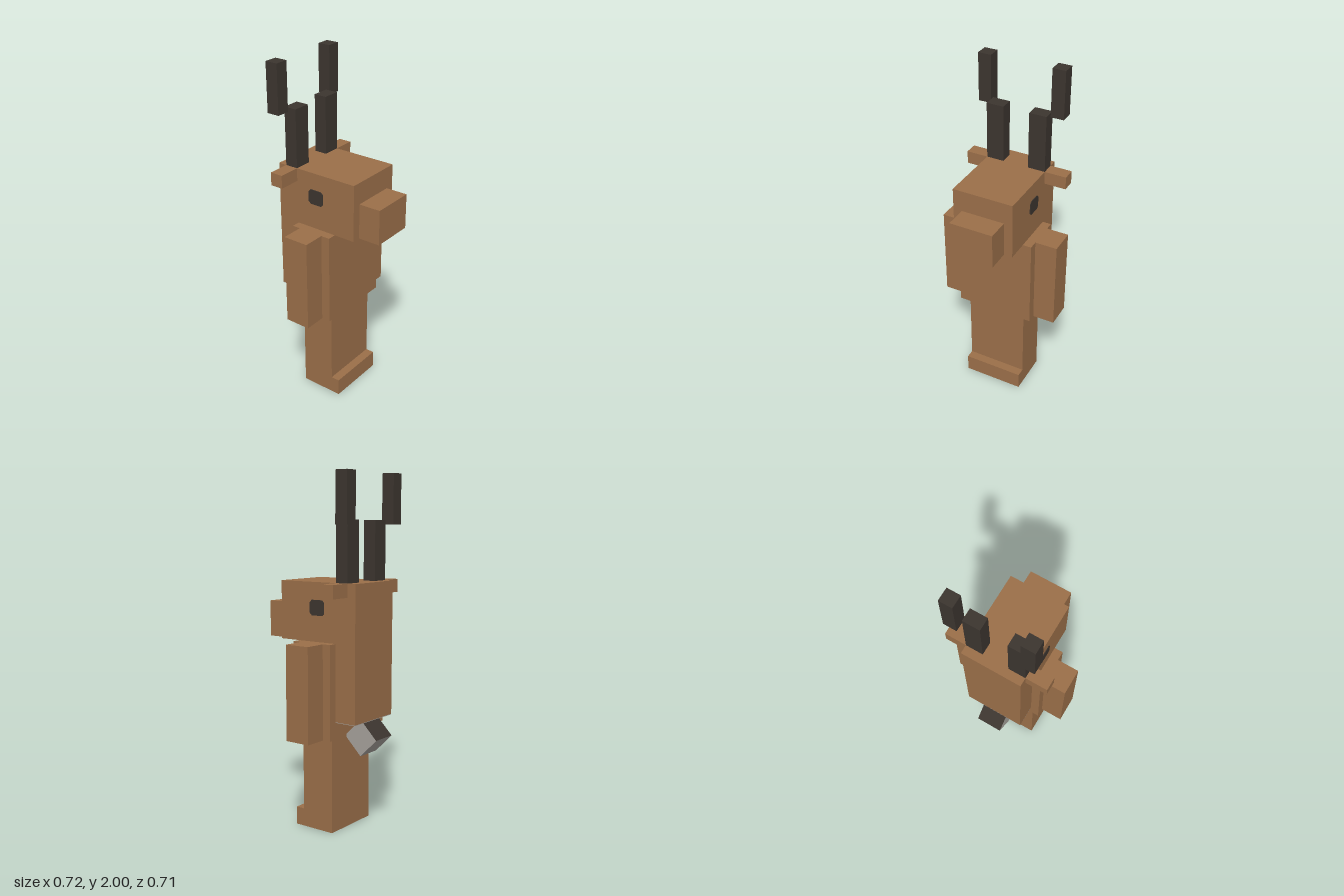
import * as THREE from 'three';

const mat = (name, color) => {
  const m = new THREE.MeshStandardMaterial({ color });
  m.name = name;
  return m;
};

export function createModel() {
  const model = new THREE.Group();
  model.name = 'blockyDeer';
  const fur = mat('brown fur', 0x9b6f49);
  const dark = mat('dark brown', 0x3c352f);
  const grey = mat('pale grey', 0xa6a19b);

  const add = (name, geometry, material) => {
    const mesh = new THREE.Mesh(geometry, material);
    mesh.name = name;
    model.add(mesh);
    return mesh;
  };

  // Box given by its limits on each axis
  const block = (name, material, [x0, x1], [y0, y1], [z0, z1]) => {
    const mesh = add(name, new THREE.BoxGeometry(x1 - x0, y1 - y0, z1 - z0), material);
    mesh.position.set((x0 + x1) / 2, (y0 + y1) / 2, (z0 + z1) / 2);
    return mesh;
  };

  // Side outline of [z, y] points, extruded across x
  const slab = (name, material, points, x0, x1) => {
    const shape = new THREE.Shape(points.map(([z, y]) => new THREE.Vector2(z, y)));
    const geometry = new THREE.ExtrudeGeometry(shape, { depth: x1 - x0, bevelEnabled: false });
    geometry.rotateY(-Math.PI / 2).translate(x1, 0, 0);
    return add(name, geometry, material);
  };

  // Legs with the toe step
  slab('legs', fur, [[-0.13, 0], [0.125, 0], [0.125, 0.103], [0.073, 0.103],
    [0.073, 0.545], [-0.13, 0.545]], -0.179, 0.179);

  // Torso
  block('torso', fur, [-0.23, 0.23], [0.545, 1.08], [-0.155, 0.099]);

  // Head continuing down into the back
  slab('headAndBack', fur, [[-0.285, 0.645], [-0.155, 0.645], [-0.155, 1.08],
    [0.226, 1.08], [0.226, 1.41], [-0.285, 1.41]], -0.179, 0.179);
  block('backUnderside', grey, [-0.179, 0.179], [0.642, 0.645], [-0.285, -0.155]);
  block('snout', fur, [-0.128, 0.128], [1.08, 1.285], [0.226, 0.356]);

  // Tilted tail, dark on its upper face
  const tail = add('tail', new THREE.BoxGeometry(0.154, 0.148, 0.148),
    [grey, grey, dark, grey, grey, grey]);
  tail.position.set(0, 0.55, -0.251);
  tail.rotation.x = -Math.PI / 4;

  // Paired parts
  for (const [side, s] of [['left', 1], ['right', -1]]) {
    const span = (a, b) => (s > 0 ? [a, b] : [-b, -a]);
    block(side + 'Arm', fur, span(0.23, 0.359), [0.545, 1.08], [-0.106, 0.046]);
    block(side + 'Ear', fur, span(0.179, 0.307), [1.335, 1.41], [-0.234, -0.158]);
    block(side + 'LowerAntler', dark, span(0.077, 0.179), [1.41, 1.745], [-0.234, -0.158]);
    block(side + 'UpperAntler', dark, span(0.179, 0.256), [1.72, 2], [-0.285, -0.21]);

    // Thin eye plate with clipped corners
    const [e0, e1] = span(0.179, 0.183);
    slab(side + 'Eye', dark, [[-0.063, 1.226], [0.007, 1.226], [0.021, 1.24], [0.021, 1.298],
      [0.007, 1.312], [-0.063, 1.312], [-0.077, 1.298], [-0.077, 1.24]], e0, e1);
  }
  return model;
}
